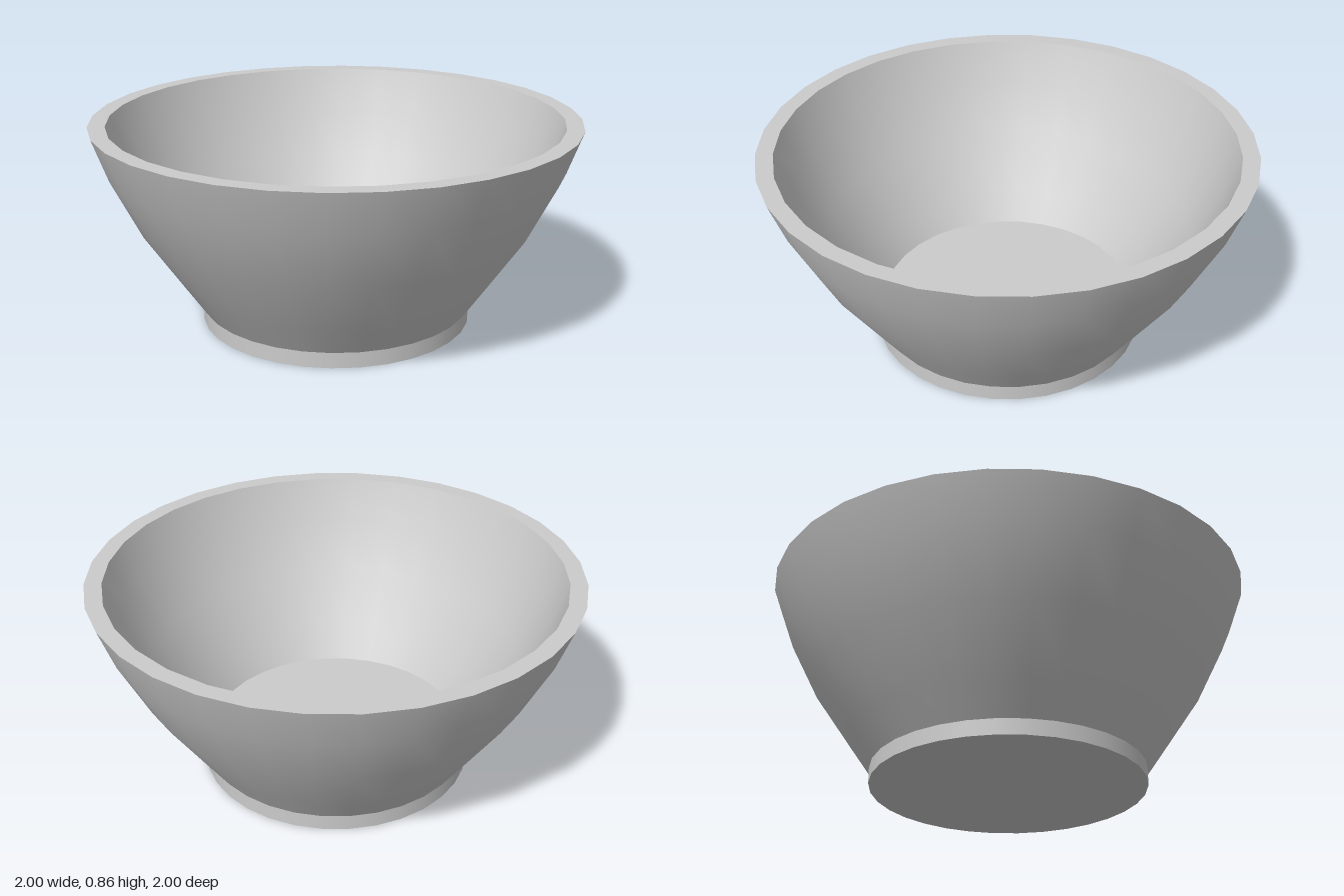
import * as THREE from 'three';
import { mergeGeometries } from 'three/addons/utils/BufferGeometryUtils.js';

const SIDES = 32;
const material = new THREE.MeshStandardMaterial({ color: 0xcccccc });

// Each strip is a smooth [radius, height] profile; edges between strips stay sharp.
function turned(name, strips) {
  const parts = strips.map((strip) =>
    new THREE.LatheGeometry(strip.map(([r, y]) => new THREE.Vector2(r, y)), SIDES));
  const mesh = new THREE.Mesh(mergeGeometries(parts), material);
  mesh.name = name;
  return mesh;
}

export function createModel() {
  const group = new THREE.Group();
  group.name = 'bowl';

  // Flared wall, flat rim, inner wall and floor
  const outer = [[0.565, 0.065], [0.65, 0.19], [0.815, 0.435], [0.937, 0.68], [1, 0.855]];
  const inner = [[0.93, 0.855], [0.87, 0.69], [0.758, 0.465], [0.605, 0.235], [0.53, 0.12]];
  group.add(turned('bowlBody', [
    outer,
    [outer[4], inner[0]],
    inner,
    [inner[4], [0, 0.12]],
  ]));

  // Solid disc foot
  group.add(turned('foot', [
    [[0, 0], [0.565, 0]],
    [[0.565, 0], [0.565, 0.065]],
  ]));

  return group;
}
